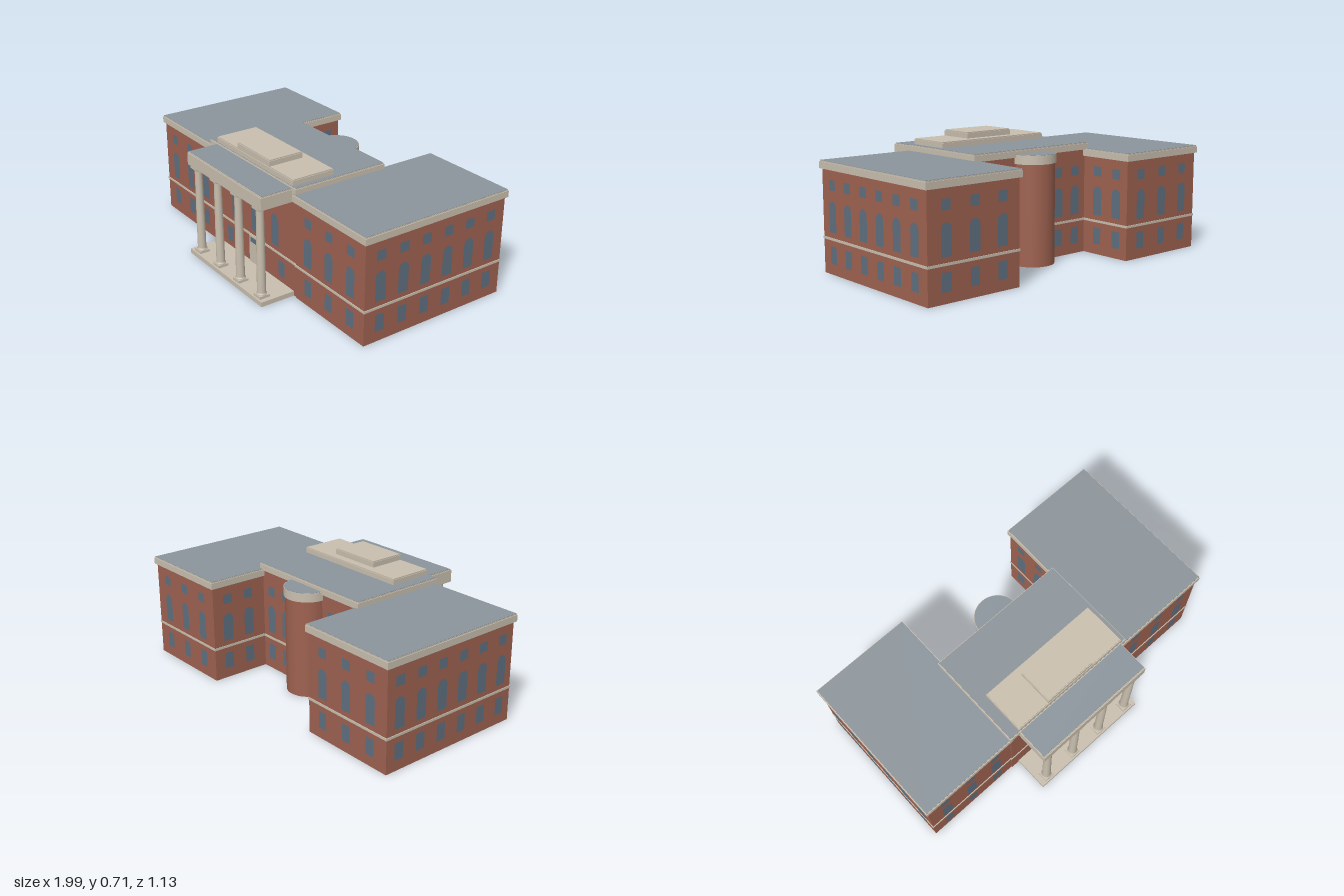
import * as THREE from 'three';
import { mergeGeometries } from 'three/addons/utils/BufferGeometryUtils.js';

const material = (name, color, side = THREE.FrontSide) => {
  const m = new THREE.MeshStandardMaterial({ color, side });
  m.name = name;
  return m;
};

export function createModel() {
  const model = new THREE.Group();
  model.name = 'mansion';
  const brick = material('brick red', 0x9e6250, THREE.DoubleSide);
  const stone = material('pale stone', 0xc9bfae);
  const slate = material('slate grey', 0x8c959c);
  const glass = material('window blue', 0x5f7080);

  const add = (name, geometry, mat) => {
    const mesh = new THREE.Mesh(geometry, mat);
    mesh.name = name;
    model.add(mesh);
    return mesh;
  };
  // Box from its limits along each axis
  const boxGeo = (x0, x1, y0, y1, z0, z1) =>
    new THREE.BoxGeometry(x1 - x0, y1 - y0, z1 - z0)
      .translate((x0 + x1) / 2, (y0 + y1) / 2, (z0 + z1) / 2);
  const box = (name, mat, ...limits) => add(name, boxGeo(...limits), mat);

  // Stone slab with a slightly inset lip on top
  const slab = (name, x0, x1, y0, y1, z0, z1) => add(name, mergeGeometries([
    boxGeo(x0, x1, y0, y1 - 0.006, z0, z1),
    boxGeo(x0 + 0.004, x1 - 0.004, y1 - 0.006, y1, z0 + 0.004, z1 - 0.004),
  ]), stone);

  const roof = (name, x0, x1, y, z0, z1) =>
    box(name, slate, x0 + 0.005, x1 - 0.005, y, y + 0.002, z0 + 0.005, z1 - 0.005);

  // Brick shell, open underneath, with a belt course running right through
  const block = (name, x0, x1, top, z0, z1) => {
    const shell = boxGeo(x0, x1, 0, top, z0, z1);
    const index = Array.from(shell.index.array);
    index.splice(18, 6); // the bottom face
    shell.setIndex(index);
    shell.clearGroups();
    add(name + 'Walls', shell, brick);
    box(name + 'Belt', stone, x0 - 0.004, x1 + 0.004, 0.187, 0.2, z0 - 0.004, z1 + 0.004);
  };

  // Flat panes, with a round head if arched
  const pane = (w, y0, y1, arched) => {
    const s = new THREE.Shape();
    s.moveTo(-w / 2, y0);
    s.lineTo(w / 2, y0);
    if (arched) {
      s.lineTo(w / 2, y1 - w / 2);
      s.absarc(0, y1 - w / 2, w / 2, 0, Math.PI, false);
    } else {
      s.lineTo(w / 2, y1);
      s.lineTo(-w / 2, y1);
    }
    s.closePath();
    return new THREE.ShapeGeometry(s, 10);
  };
  const ground = pane(0.057, 0.06, 0.155, false);
  const arched = pane(0.064, 0.23, 0.396, true);
  const tall = pane(0.07, 0.23, 0.415, true);
  const attic = pane(0.057, 0.455, 0.51, false);
  const full = [ground, arched, attic];

  // Windows at the given places along one wall; turn is the wall's facing about y
  const windows = (name, kinds, places, wall, turn) => {
    const alongZ = Math.abs(Math.sin(turn)) > 0.5;
    const parts = places.flatMap((p) => kinds.map((k) => {
      const g = k.clone().rotateY(turn);
      return alongZ ? g.translate(wall, 0, p) : g.translate(p, 0, wall);
    }));
    add(name, mergeGeometries(parts), glass);
  };
  const BACK = Math.PI, LEFT = Math.PI / 2, RIGHT = -Math.PI / 2, GAP = 0.003;

  // Two wings
  const wings = [
    { name: 'leftWing', side: 1, x0: 0.408, x1: 0.983, z0: -0.552, z1: 0.361 },
    { name: 'rightWing', side: -1, x0: -0.987, x1: -0.41, z0: -0.532, z1: 0.351 },
  ];
  for (const { name, side, x0, x1, z0, z1 } of wings) {
    const o = 0.012;
    block(name, x0, x1, 0.565, z0, z1);
    slab(name + 'Cornice', x0 - o, x1 + o, 0.563, 0.605, z0 - o, z1 + o);
    roof(name + 'Roof', x0 - o, x1 + o, 0.605, z0 - o, z1 + o);

    const xs = [0.52, 0.697, 0.873].map((x) => x * side);
    const zs = [0, 1, 2, 3, 4, 5].map((i) => (z0 + z1) / 2 + (i - 2.5) * 0.1445);
    windows(name + 'FrontWindows', full, xs, z1 + GAP, 0);
    windows(name + 'BackWindows', full, xs, z0 - GAP, BACK);
    const [outer, inner] = side > 0 ? [x1 + GAP, x0 - GAP] : [x0 - GAP, x1 + GAP];
    windows(name + 'OuterWindows', full, zs, outer, side > 0 ? LEFT : RIGHT);
    windows(name + 'InnerWindows', full, zs.slice(0, 2), inner, side > 0 ? RIGHT : LEFT);
  }

  // Centre block with its stepped attic
  block('centre', -0.409, 0.407, 0.602, -0.2, 0.356);
  slab('centreCornice', -0.422, 0.419, 0.6, 0.64, -0.213, 0.367);
  roof('centreRoof', -0.422, 0.419, 0.64, -0.213, 0.367);
  slab('lowerAttic', -0.355, 0.385, 0.64, 0.675, 0.102, 0.361);
  slab('upperAttic', -0.145, 0.172, 0.675, 0.71, 0.15, 0.359);
  windows('centreArchedWindows', [tall], [-0.184, 0.013, 0.21], 0.356 + GAP, 0);
  windows('centreGroundWindows', [ground], [-0.248, 0.272], 0.356 + GAP, 0);
  windows('centreBackWindows', full, [-0.33, -0.2, 0.2, 0.33], -0.2 - GAP, BACK);

  // Front door with a light above it
  box('door', stone, -0.04, 0.067, 0.027, 0.195, 0.356, 0.364);
  box('doorLight', glass, -0.024, 0.051, 0.156, 0.184, 0.362, 0.367);

  // Half-round bay at the back
  const bay = (name, r, y0, y1, mat, open = false) =>
    add(name, new THREE.CylinderGeometry(r, r, y1 - y0, 24, 1, open, Math.PI / 2, Math.PI)
      .translate(0, (y0 + y1) / 2, -0.203), mat);
  bay('bayWall', 0.124, 0, 0.57, brick, true);
  bay('bayCornice', 0.131, 0.565, 0.615, stone);
  bay('bayRoof', 0.128, 0.615, 0.617, slate);

  // Portico
  box('porticoFloor', stone, -0.358, 0.385, 0, 0.027, 0.357, 0.565);
  slab('porticoEntablature', -0.355, 0.385, 0.555, 0.63, 0.357, 0.556);
  roof('porticoRoof', -0.355, 0.385, 0.63, 0.357, 0.553);

  const profile = [
    [0.029, 0.041], [0.03, 0.046], [0.026, 0.051], [0.0245, 0.055],
    [0.0235, 0.25], [0.021, 0.53], [0.026, 0.536], [0.028, 0.543],
  ].map(([r, y]) => new THREE.Vector2(r, y));
  for (const x of [-0.296, -0.09, 0.117, 0.325]) {
    const column = new THREE.Group();
    column.name = 'column';
    const pieces = {
      shaft: new THREE.LatheGeometry(profile, 24),
      plinth: boxGeo(-0.031, 0.031, 0.027, 0.042, -0.031, 0.031),
      abacus: boxGeo(-0.031, 0.031, 0.542, 0.556, -0.031, 0.031),
    };
    for (const [name, geometry] of Object.entries(pieces)) {
      const mesh = new THREE.Mesh(geometry, stone);
      mesh.name = name;
      column.add(mesh);
    }
    column.position.set(x, 0, 0.524);
    model.add(column);
  }
  return model;
}
